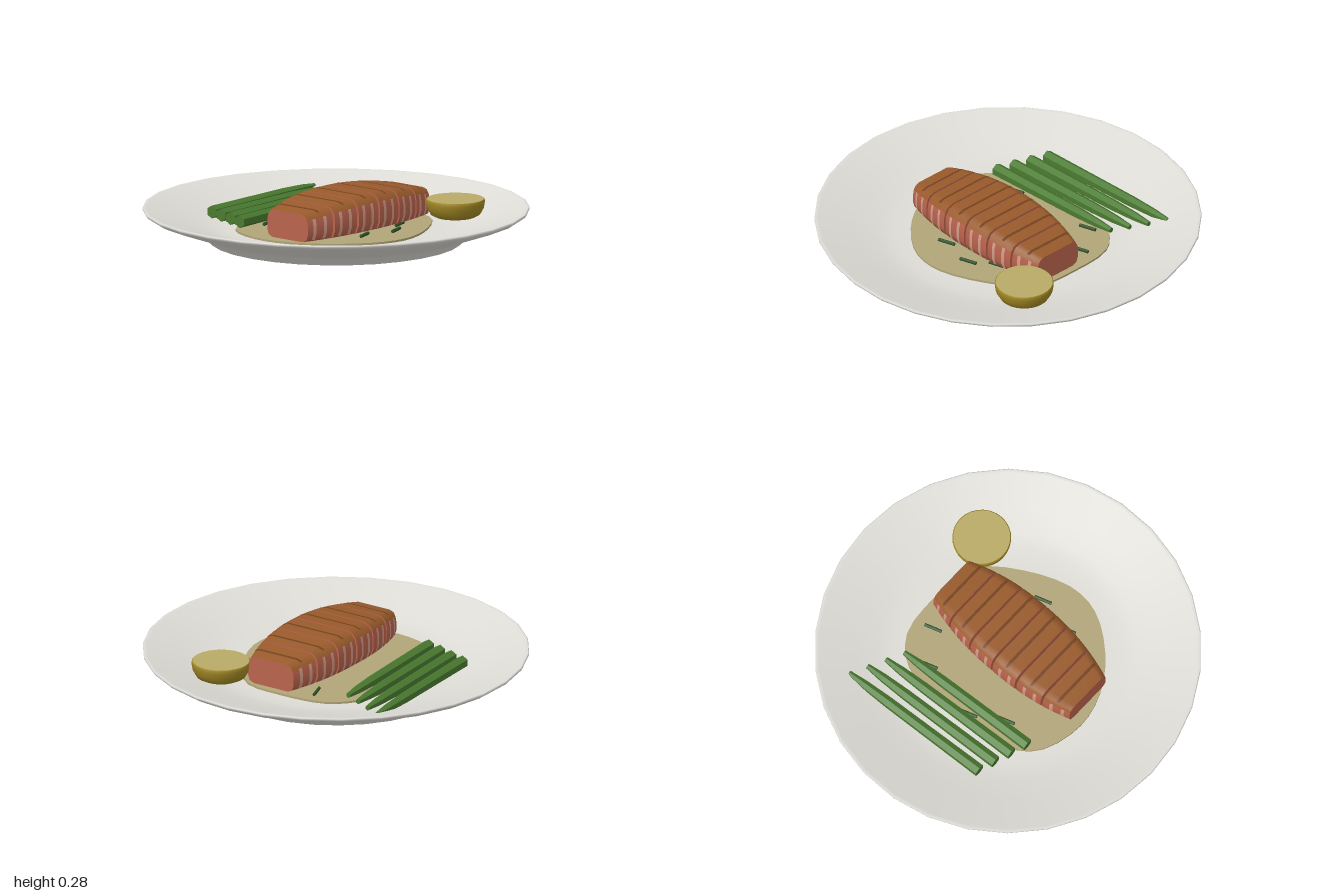
import * as THREE from 'three';

const mat = (color, extra = {}) => new THREE.MeshStandardMaterial({ color, ...extra });

function add(parent, name, geometry, material) {
  const mesh = new THREE.Mesh(geometry, material);
  mesh.name = name;
  parent.add(mesh);
  return mesh;
}

const lathe = (profile, sides, start = 0) =>
  new THREE.LatheGeometry(profile.map(([r, y]) => new THREE.Vector2(r, y)), sides, start);

// Fillet cross-section: u across the half width, v up the height
const HALF = [[0.74, 0], [0.93, 0.08], [1, 0.28], [1, 0.6], [0.96, 0.8], [0.87, 0.94], [0.7, 1]];
const RING = [...HALF, ...HALF.map(([u, v]) => [-u, v]).reverse()];
const BASE = 0.09, MID_Z = 0.087;

function filletPoint(x, i, swell = 1) {
  const [u, v] = RING[i % RING.length];
  const t = Math.abs(x) / 0.475;
  const width = 0.215 - 0.075 * t ** 2.3;
  const height = 0.195 - 0.05 * t * t;
  return [x, BASE + height * (0.5 + (v - 0.5) * swell), MID_Z + u * width * swell];
}

// Skin strip along the fillet from x0 to x1, covering ring points i0 to i1
function band(x0, x1, i0, i1, swell = 1) {
  const pos = [], index = [], steps = 4, cols = i1 - i0 + 1;
  for (let j = 0; j <= steps; j++)
    for (let i = i0; i <= i1; i++) pos.push(...filletPoint(x0 + (x1 - x0) * j / steps, i, swell));
  for (let j = 0; j < steps; j++)
    for (let i = 0; i < cols - 1; i++) {
      const a = j * cols + i, b = a + cols;
      index.push(a, b, a + 1, b, b + 1, a + 1);
    }
  return build(pos, index);
}

// Cut face closing a slice at x
function cutFace(x, facesRight) {
  const pos = [x, BASE + 0.08, MID_Z], index = [], n = RING.length;
  for (let i = 0; i < n; i++) pos.push(...filletPoint(x, i));
  for (let i = 0; i < n; i++) {
    const a = 1 + i, b = 1 + (i + 1) % n;
    index.push(0, ...(facesRight ? [b, a] : [a, b]));
  }
  return build(pos, index);
}

function build(pos, index) {
  const g = new THREE.BufferGeometry();
  g.setAttribute('position', new THREE.Float32BufferAttribute(pos, 3));
  g.setIndex(index);
  g.computeVertexNormals();
  return g;
}

export function createModel() {
  const model = new THREE.Group();
  model.name = 'platedFillet';

  // Plate
  add(model, 'plate', lathe([
    [0, 0], [0.64, 0], [0.655, 0.004], [0.69, 0.042], [0.72, 0.055], [0.97, 0.143], [0.995, 0.16],
    [1, 0.167], [1, 0.174], [0.995, 0.177], [0.98, 0.174], [0.8, 0.122], [0.68, 0.09],
    [0.6, 0.077], [0.5, 0.075], [0, 0.075],
  ], 30, Math.PI / 2), mat(0xdedcd6));

  // Sauce pool
  const outline = [[0.5, 0], [0.47, 0.23], [0.25, 0.41], [0, 0.505], [-0.18, 0.48], [-0.38, 0.33],
    [-0.5, 0.14], [-0.53, -0.06], [-0.45, -0.29], [-0.25, -0.4], [0.05, -0.42], [0.33, -0.39], [0.47, -0.26]];
  const curve = new THREE.CatmullRomCurve3(outline.map(([x, z]) => new THREE.Vector3(x, -z, 0)), true);
  const pool = new THREE.Shape(curve.getPoints(40).slice(0, -1).map(p => new THREE.Vector2(p.x, p.y)));
  const sauce = add(model, 'sauce', new THREE.ExtrudeGeometry(pool, { depth: 0.012, bevelEnabled: false }), mat(0xb0a478));
  sauce.rotation.x = -Math.PI / 2;
  sauce.position.y = 0.074;

  // Sliced fillet: browned top, pink flesh, pale streaks and sear marks
  const crust = mat(0x985a2b), flesh = mat(0xb9634c), fat = mat(0xd39b88), sear = mat(0x74421f);
  const fillet = new THREE.Group();
  fillet.name = 'fillet';
  model.add(fillet);
  for (let s = 0; s < 6; s++) {
    const x0 = -0.475 + s * 0.1593, x1 = x0 + 0.1475;
    const slice = new THREE.Group();
    slice.name = 'slice' + (s + 1);
    fillet.add(slice);
    add(slice, 'crust', band(x0, x1, 4, 9), crust);
    add(slice, 'flesh', band(x0, x1, 9, 18), flesh);
    add(slice, 'leftCut', cutFace(x1, true), flesh);
    add(slice, 'rightCut', cutFace(x0, false), flesh);
    for (const f of [0.2, 0.62]) {
      const x = x0 + f * 0.1475;
      add(slice, 'frontStreak', band(x, x + 0.018, 1, 4, 1.006), fat);
      add(slice, 'backStreak', band(x, x + 0.018, 9, 12, 1.006), fat);
    }
    add(slice, 'searMark', band(x0 + 0.07, x0 + 0.085, 5, 8, 1.006), sear);
  }

  // Asparagus spears: butt position and length
  const green = mat(0x4a7a30, { flatShading: true });
  const spears = [[-0.32, -0.573, 0.86], [-0.35, -0.482, 0.845], [-0.38, -0.392, 0.83], [-0.41, -0.302, 0.815]];
  spears.forEach(([x, z, len], i) => {
    const spear = add(model, 'asparagus' + (i + 1), lathe([
      [0, 0], [0.034, 0], [0.03, len * 0.7], [0.024, len * 0.88], [0.014, len], [0, len],
    ], 6, Math.PI / 6), green);
    spear.rotation.set(0, 0.062, -Math.PI / 2);
    spear.position.set(x, 0.122, z);
  });

  // Lemon half: rind cup and cut face
  const lemon = new THREE.Group();
  lemon.name = 'lemon';
  lemon.position.set(0.515, 0, 0.367);
  model.add(lemon);
  add(lemon, 'rind', lathe([[0, 0.095], [0.1, 0.098], [0.128, 0.112], [0.147, 0.145], [0.152, 0.175],
    [0.152, 0.19], [0.147, 0.194]], 28), mat(0xa08724));
  const cut = add(lemon, 'cutFace', new THREE.CircleGeometry(0.1475, 28), mat(0xb8aa66));
  cut.rotation.x = -Math.PI / 2;
  cut.position.y = 0.194;

  // Scattered chives
  const chiveGeometry = new THREE.CylinderGeometry(0.009, 0.009, 0.095, 6);
  const chiveGreen = mat(0x2f5228);
  const chives = [[-0.23, -0.268], [-0.06, -0.37], [0.27, -0.31], [0.39, -0.145],
    [-0.13, 0.312], [0.073, 0.35], [-0.29, 0.05], [0.29, 0.2], [0.2, 0.262]];
  chives.forEach(([x, z], i) => {
    const chive = add(model, 'chive' + (i + 1), chiveGeometry, chiveGreen);
    chive.rotation.set(0, 0.32, -Math.PI / 2);
    chive.position.set(x, 0.094, z);
  });

  return model;
}
